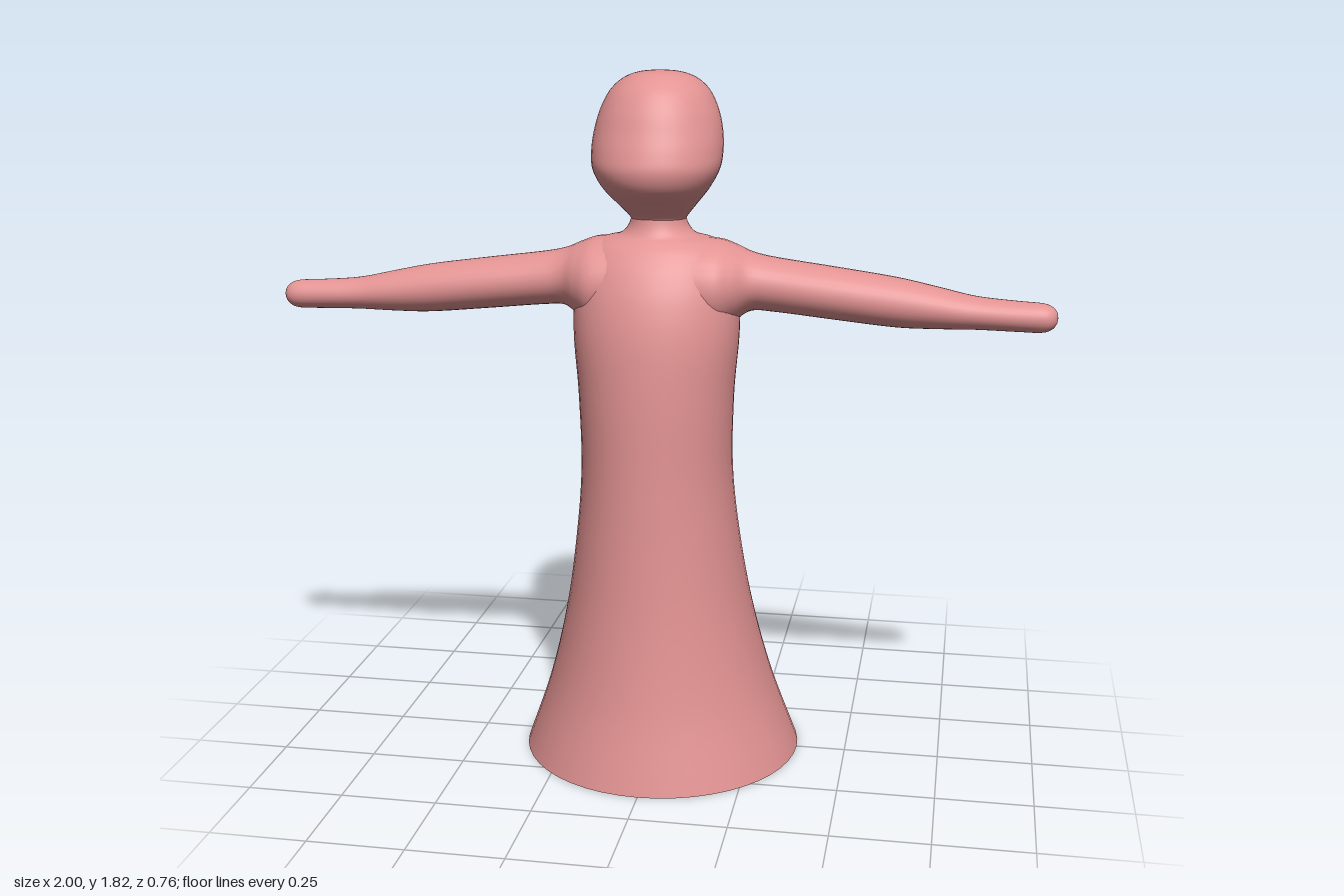
import * as THREE from 'three';

const material = new THREE.MeshStandardMaterial({ color: 0xe39393, side: THREE.DoubleSide });

// Lofts smooth oval rings through sections [s, aMin, aMax, bMin, bMax];
// place(s, a, b) turns a ring point into x, y, z. spin = -1 for mirrored parts.
function loft(name, sections, place, { rings = 60, sides = 48, spin = 1 } = {}) {
  const column = (k) => new THREE.CatmullRomCurve3(
    sections.map((s) => new THREE.Vector3(s[0], s[k], s[k + 1])), false, 'centripetal');
  const aCurve = new THREE.CatmullRomCurve3(
    sections.map((s) => new THREE.Vector3(s[0], s[1], s[2])));
  const bCurve = column(3);
  // both curves use one type so that their stations agree
  aCurve.curveType = bCurve.curveType = 'catmullrom';
  aCurve.tension = bCurve.tension = 0.5;
  const positions = [], index = [];
  for (let i = 0; i <= rings; i++) {
    const a = aCurve.getPoint(i / rings), b = bCurve.getPoint(i / rings);
    for (let j = 0; j < sides; j++) {
      const t = spin * j / sides * Math.PI * 2;
      positions.push(...place(a.x,
        (a.y + a.z) / 2 + (a.z - a.y) / 2 * Math.cos(t),
        (b.y + b.z) / 2 + (b.z - b.y) / 2 * Math.sin(t)));
      if (i === rings) continue;
      const p = i * sides + j, q = i * sides + (j + 1) % sides;
      index.push(p, q, q + sides, p, q + sides, p + sides);
    }
  }
  const geometry = new THREE.BufferGeometry();
  geometry.setAttribute('position', new THREE.Float32BufferAttribute(positions, 3));
  geometry.setIndex(index);
  geometry.computeVertexNormals();
  const mesh = new THREE.Mesh(geometry, material);
  mesh.name = name;
  return mesh;
}

// Upright section: height, back z, front z, half width
const upright = (rows) => rows.map(([y, back, front, w]) => [y, back, front, -w, w]);
const standing = (s, a, b) => [b, s, a];

export function createModel() {
  const model = new THREE.Group();
  model.name = 'robedFigure';

  // Gown, open at the hem, closing over the shoulders into the neck
  model.add(loft('gown', upright([
    [0, -0.38, 0.38, 0.37],
    [0.2, -0.3, 0.338, 0.3],
    [0.4, -0.227, 0.314, 0.25],
    [0.6, -0.165, 0.302, 0.217],
    [0.8, -0.122, 0.296, 0.197],
    [1.0, -0.095, 0.293, 0.2],
    [1.15, -0.086, 0.283, 0.212],
    [1.25, -0.086, 0.262, 0.212],
    [1.32, -0.08, 0.232, 0.203],
    [1.37, -0.062, 0.198, 0.185],
    [1.395, -0.045, 0.172, 0.15],
    [1.408, -0.03, 0.155, 0.1],
    [1.43, -0.018, 0.143, 0.077],
    [1.46, -0.01, 0.137, 0.068],
    [1.48, -0.01, 0.137, 0.068],
  ]), standing, { rings: 84 }));

  // Head, leaning forward at the chin
  model.add(loft('head', upright([
    [1.445, -0.008, 0.135, 0.068],
    [1.46, -0.012, 0.146, 0.078],
    [1.49, -0.02, 0.188, 0.103],
    [1.53, -0.038, 0.24, 0.135],
    [1.575, -0.06, 0.259, 0.159],
    [1.62, -0.084, 0.25, 0.165],
    [1.67, -0.1, 0.23, 0.161],
    [1.72, -0.106, 0.209, 0.148],
    [1.765, -0.093, 0.18, 0.125],
    [1.795, -0.058, 0.143, 0.092],
    [1.81, -0.012, 0.105, 0.052],
    [1.815, 0.05, 0.052, 0.001],
  ]), standing, { rings: 66 }));

  // Arms, flared at the shoulder and rounded at the hand: x, bottom, top, back, front
  const armSections = [
    [0.1, 1.16, 1.403, -0.075, 0.215],
    [0.16, 1.165, 1.398, -0.075, 0.21],
    [0.2, 1.192, 1.384, -0.055, 0.185],
    [0.24, 1.218, 1.367, -0.028, 0.155],
    [0.3, 1.217, 1.354, -0.022, 0.146],
    [0.45, 1.202, 1.334, -0.02, 0.144],
    [0.6, 1.188, 1.313, -0.012, 0.138],
    [0.7, 1.187, 1.293, -0.002, 0.132],
    [0.8, 1.189, 1.272, 0.012, 0.122],
    [0.9, 1.188, 1.264, 0.026, 0.118],
    [0.96, 1.188, 1.261, 0.035, 0.115],
    [0.985, 1.196, 1.253, 0.045, 0.106],
    [0.997, 1.21, 1.24, 0.06, 0.091],
    [1.0, 1.224, 1.226, 0.075, 0.076],
  ];
  for (const side of [1, -1]) {
    model.add(loft(side > 0 ? 'leftArm' : 'rightArm', armSections,
      (s, a, b) => [side * s, a, b], { rings: 78, sides: 32, spin: side }));
  }
  return model;
}
